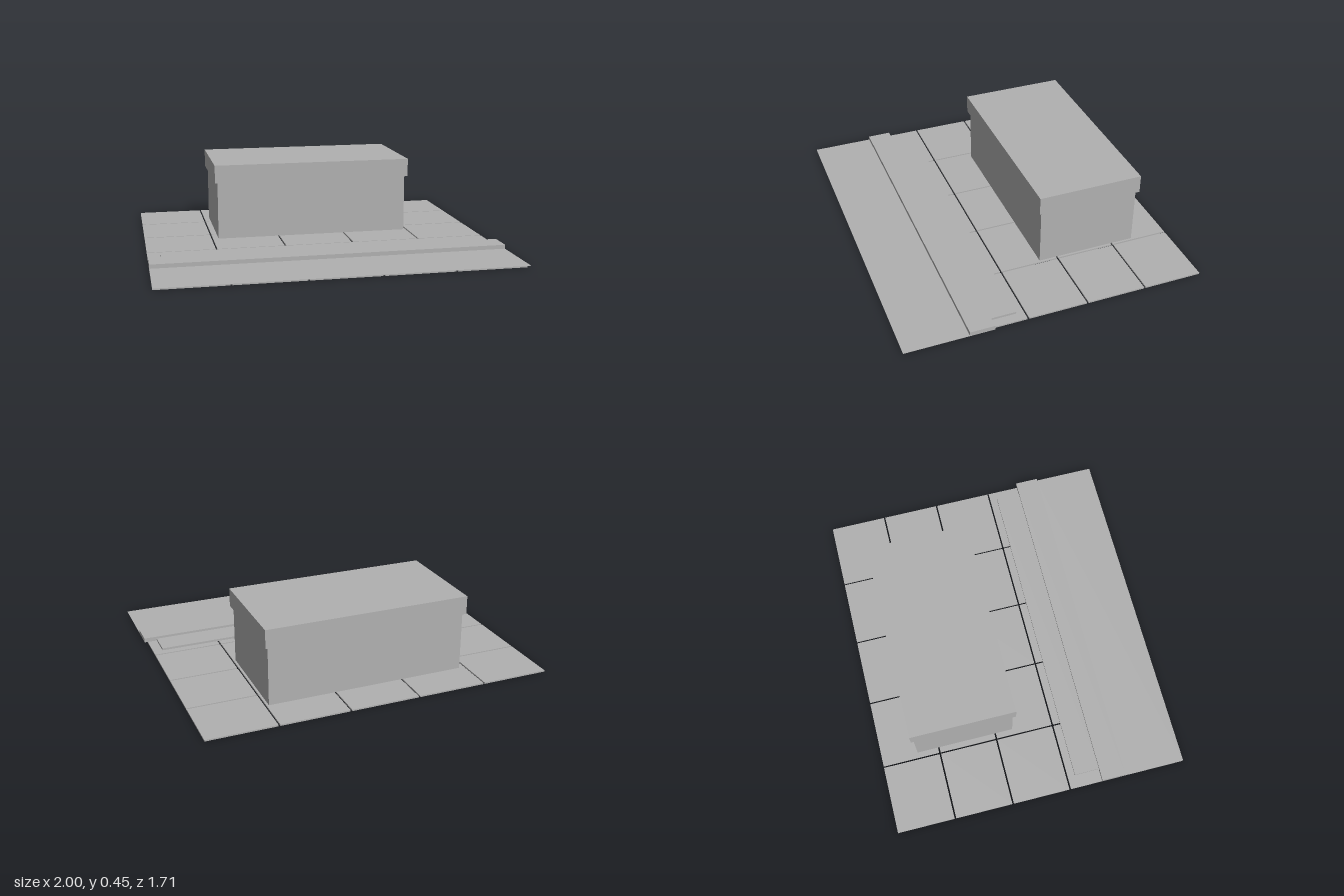
import * as THREE from 'three';

export function createModel() {
  const model = new THREE.Group();
  model.name = 'counterOnTiledFloor';

  const stone = new THREE.MeshStandardMaterial({ color: 0xb0b0b0 });
  stone.name = 'grey stone';

  // Box given by its lower and upper limits on each axis
  function addBox(name, [x0, x1], [y0, y1], [z0, z1], parent = model) {
    const mesh = new THREE.Mesh(new THREE.BoxGeometry(x1 - x0, y1 - y0, z1 - z0), stone);
    mesh.position.set((x0 + x1) / 2, (y0 + y1) / 2, (z0 + z1) / 2);
    mesh.name = name;
    parent.add(mesh);
    return mesh;
  }

  // Floor: five by five thin tiles with narrow gaps
  const floor = new THREE.Group();
  floor.name = 'tiledFloor';
  model.add(floor);
  const tileTop = 0.008, gap = 0.009;
  const pitchX = 0.398, pitchZ = 0.343;
  for (let row = 0; row < 5; row++) {
    for (let col = 0; col < 5; col++) {
      const x = -1 + col * pitchX;
      const z = -0.857 + row * pitchZ;
      addBox('floorTile', [x, x + pitchX - gap], [0, tileTop], [z, z + pitchZ - gap], floor);
    }
  }

  // Smooth pavement, raised kerb and lower step along the front
  addBox('pavement', [-1, 1], [tileTop, 0.01], [0.499, 0.856]);
  addBox('kerb', [-1, 1], [tileTop, 0.033], [0.361, 0.499]);
  addBox('step', [-0.927, 0.927], [tileTop, 0.02], [0.215, 0.361]);

  // Counter block with an overhanging top
  addBox('counterBody', [-0.57, 0.57], [tileTop, 0.345], [-0.646, -0.071]);
  addBox('counterTop', [-0.586, 0.586], [0.345, 0.45], [-0.661, -0.056]);

  return model;
}
